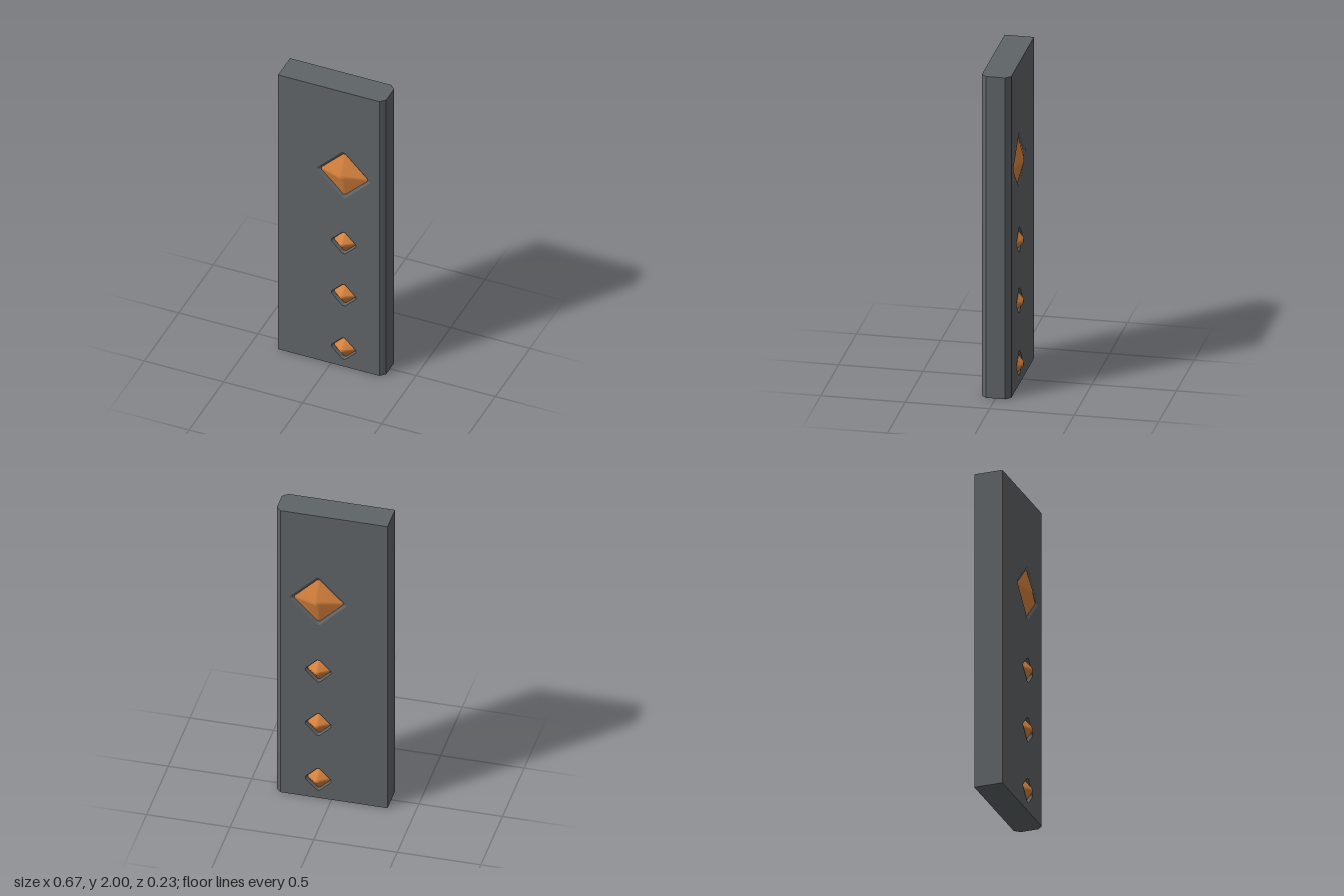
import * as THREE from 'three';

const HALF = 0.087; // half thickness of the slab
const X = 0.08; // column of studs

// Diamond outline with slightly clipped corners
function diamond(r, c) {
  return [[r, -c], [r, c], [c, r], [-c, r], [-r, c], [-r, -c], [-c, -r], [c, -r]];
}

// Faces between diamond rings given as [radius, z, clip], outermost first
function loft(rings, capped) {
  const pos = [], index = [];
  for (const [r, z, c] of rings) for (const [x, y] of diamond(r, c)) pos.push(x, y, z);
  for (let k = 0; k < rings.length - 1; k++) {
    for (let i = 0; i < 8; i++) {
      const a = k * 8 + i, b = k * 8 + (i + 1) % 8;
      index.push(a, b, b + 8, a, b + 8, a + 8);
    }
  }
  const last = (rings.length - 1) * 8;
  if (capped) for (let i = 1; i < 7; i++) index.push(last, last + i, last + i + 1);
  const g = new THREE.BufferGeometry();
  g.setAttribute('position', new THREE.Float32BufferAttribute(pos, 3));
  g.setIndex(index);
  g.computeVertexNormals();
  return g;
}

export function createModel() {
  const model = new THREE.Group();
  const grey = new THREE.MeshStandardMaterial({ color: 0x5f6467 });
  grey.name = 'slate grey';
  const orange = new THREE.MeshStandardMaterial({ color: 0xd9843f });
  orange.name = 'amber orange';

  const add = (parent, name, geometry, material) => {
    const mesh = new THREE.Mesh(geometry, material);
    mesh.name = name;
    parent.add(mesh);
    return mesh;
  };

  // One large stud above three small ones: height, gem radius, gem base z, socket radius, tip radius
  const studs = [
    { y: 1.395, r: 0.145, z: 0.076, socket: 0.168, tip: 0.015 },
    ...[0.9, 0.52, 0.13].map(y => ({ y, r: 0.066, z: 0.068, socket: 0.077, tip: 0.012 })),
  ];

  // Slab with diamond sockets cut through
  const slab = new THREE.Shape([[-0.335, 0], [0.305, 0], [0.305, 2], [-0.335, 2]]
    .map(([x, y]) => new THREE.Vector2(x, y)));
  for (const s of studs) {
    slab.holes.push(new THREE.Path(diamond(s.socket, 0.008)
      .map(([x, y]) => new THREE.Vector2(x + X, y + s.y))));
  }
  const slabGeometry = new THREE.ExtrudeGeometry(slab, { depth: HALF * 2, bevelEnabled: false });
  slabGeometry.translate(0, 0, -HALF);
  add(model, 'slab', slabGeometry, grey);

  // Chamfered long edge
  const edge = new THREE.Shape([[0.305, -HALF], [0.335, -0.057], [0.335, 0.057], [0.305, HALF]]
    .map(([x, y]) => new THREE.Vector2(x, y)));
  const edgeGeometry = new THREE.ExtrudeGeometry(edge, { depth: 2, bevelEnabled: false });
  edgeGeometry.rotateX(-Math.PI / 2);
  add(model, 'chamferedEdge', edgeGeometry, grey);

  // Sockets and gems on both faces
  for (const s of studs) {
    for (const side of ['front', 'back']) {
      const stud = new THREE.Group();
      stud.name = side + 'Stud';
      stud.position.set(X, s.y, 0);
      if (side === 'back') stud.rotation.y = Math.PI;
      add(stud, 'socket', loft([[s.socket, HALF, 0.008], [s.r, s.z, 0.008]], false), grey);
      add(stud, 'gem', loft([[s.r, s.z, 0.008], [s.tip, 0.113, s.tip * 0.6]], true), orange);
      model.add(stud);
    }
  }
  return model;
}
